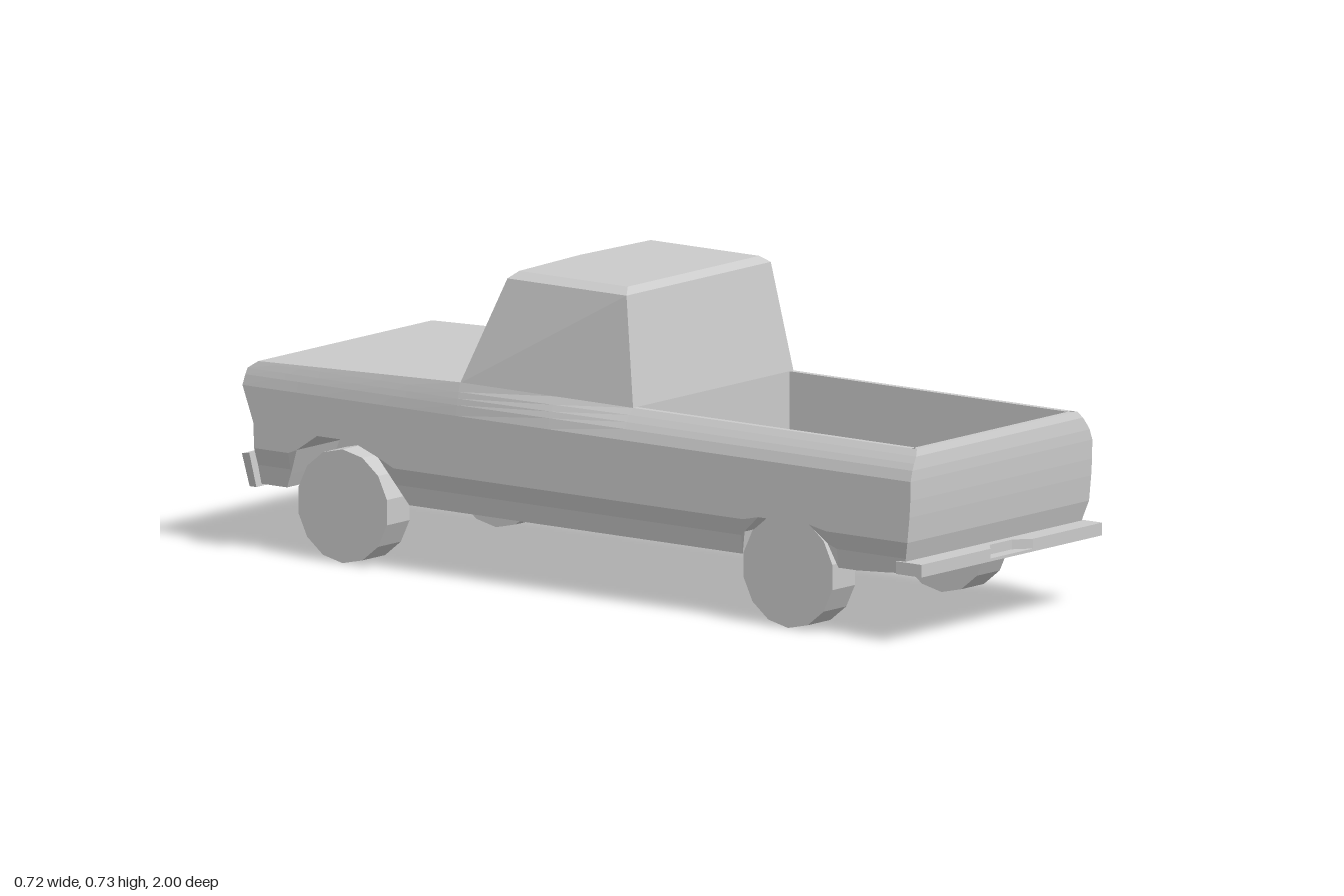
import * as THREE from 'three';

const material = new THREE.MeshStandardMaterial({ color: 0xcccccc, flatShading: true, side: THREE.DoubleSide });

// Piecewise-linear lookup in a list of [key, value]
function lookup(table, v) {
  if (v <= table[0][0]) return table[0][1];
  for (let i = 1; i < table.length; i++) {
    const [k0, a] = table[i - 1], [k1, b] = table[i];
    if (v <= k1) return a + (b - a) * (v - k0) / (k1 - k0);
  }
  return table[table.length - 1][1];
}

// Surface through rows of [x, y, z] points
function surface(rows) {
  const n = rows[0].length, index = [];
  for (let i = 0; i < rows.length - 1; i++) {
    for (let j = 0; j < n - 1; j++) {
      const a = i * n + j, d = a + n;
      index.push(a, a + 1, d + 1, a, d + 1, d);
    }
  }
  const g = new THREE.BufferGeometry();
  g.setAttribute('position', new THREE.Float32BufferAttribute(rows.flat(2), 3));
  g.setIndex(index);
  g.computeVertexNormals();
  return g;
}

// Strip spanning the full width, from [half width, y, z] points
const across = (pts) => surface(pts.map(([x, y, z]) => [[-x, y, z], [x, y, z]]));

// Extrude a [z, y] profile along x, from x1 - width to x1
function extrudeX(profile, width, x1) {
  const shape = new THREE.Shape(profile.map(([z, y]) => new THREE.Vector2(z, y)));
  const g = new THREE.ExtrudeGeometry(shape, { depth: width, bevelEnabled: false });
  return g.rotateY(-Math.PI / 2).translate(x1, 0, 0);
}

// Body outline rules
const SILL = 0.155, FLOOR = 0.22, INNER = 0.285, ARCH_X = 0.18, CAB_BACK = 0.12;
const frontArch = [[-0.88, SILL], [-0.865, 0.19], [-0.84, 0.25], [-0.78, 0.29], [-0.68, 0.29], [-0.6, 0.26], [-0.555, 0.2], [-0.52, SILL]];
const rearArch = [[0.463, SILL], [0.475, 0.21], [0.52, 0.25], [0.67, 0.25], [0.72, 0.21], [0.745, SILL]];
const lowerTable = [[-0.965, SILL], ...frontArch, ...rearArch, [0.8, SILL], [0.957, 0.165]];
const topTable = [[-0.965, 0.443], [-0.37, 0.462], [CAB_BACK, 0.455]];
const topWidth = [[-0.37, 0.325], [CAB_BACK, 0.3]];
const sideTable = [[SILL, 0.325], [0.2, 0.331], [0.24, 0.34]];
const noseTable = [[0.23, -0.965], [0.3, -0.968], [0.385, -1], [0.425, -0.992], [0.443, -0.965]];
const tailTable = [[0.165, 0.938], [0.25, 0.963], [0.34, 0.969], [0.4, 0.97], [0.44, 0.964], [0.455, 0.957]];
const levels = [SILL, 0.2, 0.24, 0.3, 0.34, 0.385, 0.41, 0.425, 0.44, 1];
const stations = [-0.965, -0.91, ...frontArch.map((p) => p[0]), -0.37, -0.1, CAB_BACK, 0.3,
  ...rearArch.map((p) => p[0]), 0.8, 0.9, 0.957];

const lower = (z) => lookup(lowerTable, z);
const top = (z) => lookup(topTable, z);

// Point on the left flank at a station and height level
function flank(z, level) {
  const y = Math.min(Math.max(level, lower(z)), top(z));
  const t = Math.max(0, (y - 0.385) / (top(z) - 0.385));
  const x = lookup(sideTable, y) - (0.34 - lookup(topWidth, z)) * t ** 1.5;
  let endZ = z;
  if (z === stations[0]) endZ = lookup(noseTable, y);
  if (z === stations[stations.length - 1]) endZ = lookup(tailTable, y);
  return [x, y, endZ];
}

export function createModel() {
  const model = new THREE.Group();
  const add = (name, geometry, parent = model) => {
    const mesh = new THREE.Mesh(geometry, material);
    mesh.name = name;
    parent.add(mesh);
    return mesh;
  };
  const tail = stations[stations.length - 1], nose = stations[0];

  // Parts that exist once per side
  for (const [side, s] of [['left', 1], ['right', -1]]) {
    const half = new THREE.Group();
    half.name = side + 'Side';
    half.scale.x = s;
    model.add(half);
    add('sidePanel', surface(stations.map((z) => levels.map((l) => flank(z, l)))), half);
    add('sillAndArches', surface(stations.map((z) => {
      const [x, y, ez] = flank(z, 0);
      return [[ARCH_X, y, ez], [x, y, ez]];
    })), half);
    for (const arch of [frontArch, rearArch]) {
      add('archInnerWall', surface(arch.map(([z, y]) => [[ARCH_X, SILL, z], [ARCH_X, y, z]])), half);
    }
    // Bed rail and its inside wall
    add('bedWall', surface([CAB_BACK, 0.3, 0.94].map((z) =>
      [[lookup(topWidth, z), 0.455, z], [INNER, 0.455, z], [INNER, FLOOR, z]])), half);
    add('wheelHousing', extrudeX([[0.45, FLOOR], [0.74, FLOOR], [0.69, 0.275], [0.65, 0.305], [0.515, 0.305], [0.47, 0.275]],
      INNER - ARCH_X, INNER), half);
    // Fourteen-sided wheels resting on a flat facet
    for (const [name, z] of [['frontWheel', -0.713], ['rearWheel', 0.6]]) {
      const wheel = new THREE.CylinderGeometry(0.134, 0.134, 0.085, 14);
      wheel.rotateY(Math.PI / 14).rotateZ(Math.PI / 2);
      wheel.translate(0.287, 0.134 * Math.cos(Math.PI / 14), z);
      add(name, wheel, half);
    }
  }

  // Tailgate, bed floor and bulkhead in one strip
  add('tailgateAndBed', across([
    ...levels.map((l) => flank(tail, l)),
    [INNER, 0.455, 0.94], [INNER, FLOOR, 0.94], [INNER, FLOOR, CAB_BACK], [0.3, 0.455, CAB_BACK],
  ]));

  // Hood and front face
  add('hoodAndNose', across([
    ...[-0.36, -0.5, -0.75].map((z) => [lookup(topWidth, z), top(z), z]),
    ...[...levels].reverse().map((l) => flank(nose, l)),
  ]));
  add('underside', across([[ARCH_X, SILL, -0.965], [ARCH_X, SILL, 0.8], [ARCH_X, 0.165, 0.938]]));

  // Cab: stacked rings with a bowed windshield
  const ring = (y, xf, zf, bow, xr, zr, yr = y) => [
    [xf, y, zf], [0, y, zf - bow], [-xf, y, zf], [-xr, yr, zr], [xr, yr, zr], [xf, y, zf]];
  add('cab', surface([
    ring(0.46, 0.325, -0.37, 0.018, 0.3, CAB_BACK, 0.455),
    ring(0.71, 0.27, -0.274, 0.016, 0.27, 0.077),
    ring(0.726, 0.246, -0.258, 0.014, 0.246, 0.062),
    ring(0.726, 0, -0.1, 0, 0, -0.1),
  ]));

  // Front bumper, wider at the top
  const bumper = extrudeX([[-0.955, 0.15], [-0.965, 0.232], [-0.987, 0.228], [-0.975, 0.15]], 0.69, 0.345);
  const p = bumper.attributes.position;
  for (let i = 0; i < p.count; i++) p.setX(i, p.getX(i) * (1 + 0.5 * (p.getY(i) - 0.15)));
  add('frontBumper', bumper);

  // Rear bumper with a step notch above a thin base
  const plate = (pts, y, height) => {
    const shape = new THREE.Shape(pts.map(([x, z]) => new THREE.Vector2(x, -z)));
    return new THREE.ExtrudeGeometry(shape, { depth: height, bevelEnabled: false })
      .rotateX(-Math.PI / 2).translate(0, y, 0);
  };
  add('rearBumperBase', plate([[-0.338, 1], [0.338, 1], [0.338, 0.925], [-0.338, 0.925]], 0.163, 0.007));
  add('rearBumper', plate([[-0.338, 1], [-0.08, 1], [-0.042, 0.968], [0.042, 0.968], [0.08, 1], [0.338, 1],
    [0.338, 0.925], [-0.338, 0.925]], 0.17, 0.023));

  return model;
}
